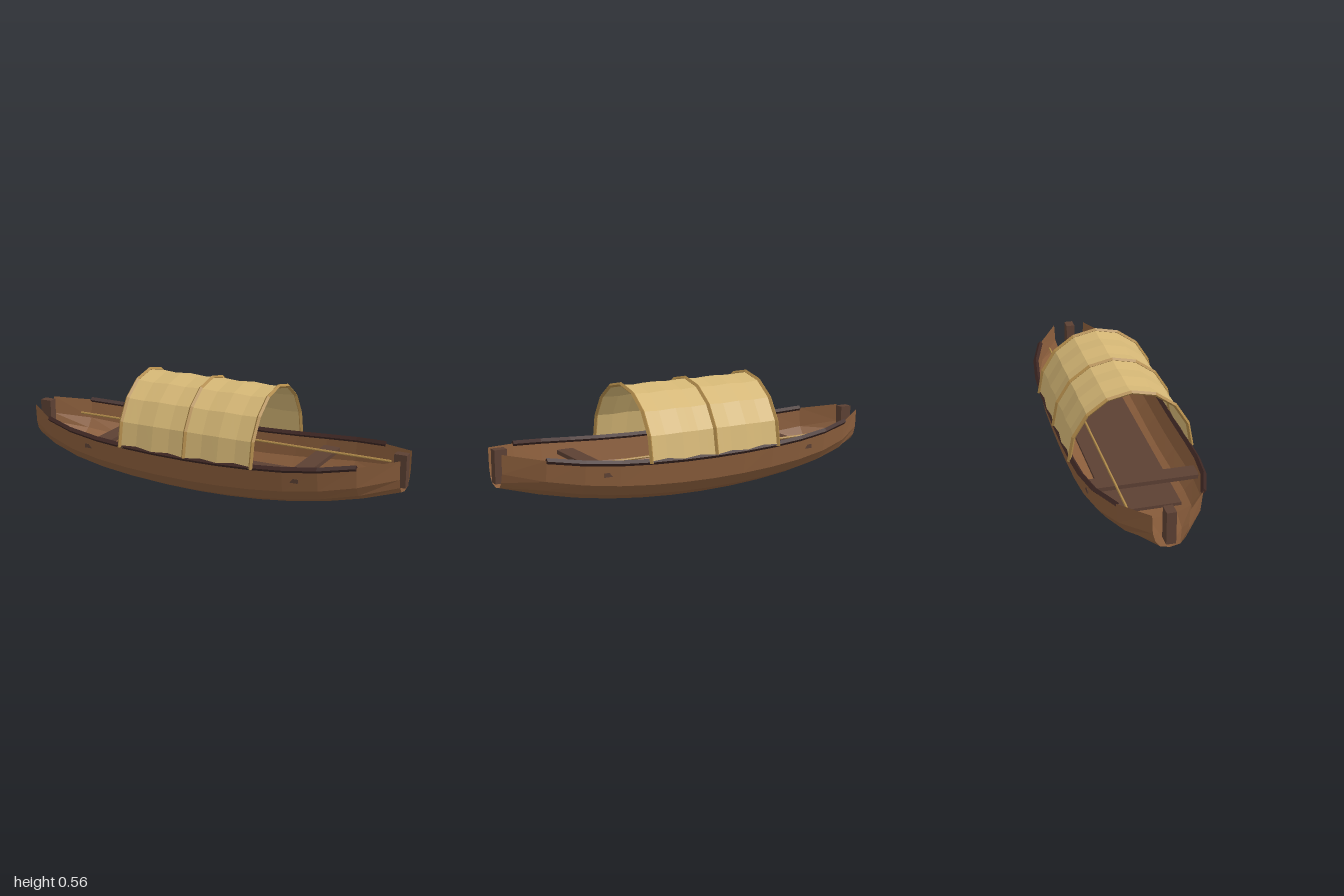
import * as THREE from 'three';

const mat = (color) => new THREE.MeshStandardMaterial({ color, flatShading: true, side: THREE.DoubleSide });
const hullWood = mat(0x8b5e3c), darkWood = mat(0x3e2723), plankWood = mat(0x5c4033);
const cane = mat(0xb08a4a), matting = mat(0xd4b675);

const HALF = 0.99;
const keel = (x) => 0.13 * (x / HALF) ** 2;
const sheer = (x) => 0.22 + 0.08 * (x / HALF) ** 2;
const beam = (x) => 0.285 - 0.202 * Math.abs(x / HALF) ** 4.5;

// Skin a list of equal-length cross-sections ([x, y, z] points)
function loft(rings, closed = false) {
  const n = rings[0].length, index = [];
  for (let i = 0; i < rings.length - 1; i++) {
    for (let j = 0; j < (closed ? n : n - 1); j++) {
      const a = i * n + j, b = i * n + (j + 1) % n;
      index.push(a, a + n, b, b, a + n, b + n);
    }
  }
  const g = new THREE.BufferGeometry();
  g.setAttribute('position', new THREE.Float32BufferAttribute(rings.flat(2), 3));
  g.setIndex(index);
  const flat = g.toNonIndexed();
  flat.computeVertexNormals();
  return flat;
}

// Collapse a ring to its centre, to cap the end of a closed loft
function cap(ring) {
  const c = [0, 1, 2].map((k) => ring.reduce((s, p) => s + p[k], 0) / ring.length);
  return ring.map(() => c);
}
const capped = (rings) => loft([cap(rings[0]), ...rings, cap(rings[rings.length - 1])], true);

const steps = (n, f) => Array.from({ length: n + 1 }, (_, i) => f(i));

export function createModel() {
  const boat = new THREE.Group();
  boat.name = 'boat';
  const add = (name, geometry, material, x = 0, y = 0, z = 0) => {
    const m = new THREE.Mesh(geometry, material);
    m.name = name;
    m.position.set(x, y, z);
    boat.add(m);
    return m;
  };

  // Hull: one section, scaled along the length, open at both ends
  const half = [[1, 1], [0.947, 0.47], [0.79, 0.217], [0.526, 0.055]];
  const section = [...half, [0, 0], ...half.map(([z, y]) => [-z, y]).reverse()];
  add('hull', loft(steps(12, (i) => {
    const x = -HALF + i * HALF / 6, b = keel(x), s = sheer(x);
    return section.map(([z, y]) => [x, b + y * (s - b), z * beam(x)]);
  })), hullWood);

  // Rails along the top edges
  for (const side of [1, -1]) {
    add(side > 0 ? 'frontRail' : 'backRail', capped(steps(10, (i) => {
      const x = -0.825 + i * 0.165, y = sheer(x), z = side * beam(x), r = 0.014;
      return [[x, y + r, z], [x, y, z + r], [x, y - r, z], [x, y, z - r]];
    })), darkWood);
  }

  // Floor, cross seats and end posts
  add('floor', new THREE.BoxGeometry(1.23, 0.015, 0.335), plankWood, 0, 0.085, 0);
  for (const side of [1, -1]) {
    const end = side > 0 ? 'left' : 'right';
    add(end + 'Seat', new THREE.BoxGeometry(0.085, 0.02, 0.525), plankWood, side * 0.53, 0.19, 0);
    add(end + 'Post', new THREE.BoxGeometry(0.06, 0.157, 0.044), plankWood, side * 0.97, 0.23, 0);
  }

  // Arched canopy with gentle ripples
  const arch = (x, i, rz, ry) => {
    const a = i * Math.PI / 8;
    return [x, 0.225 + ry * Math.sin(a), rz * Math.cos(a)];
  };
  add('canopy', loft(steps(16, (k) => {
    const x = -0.35 + k * 0.7 / 16;
    const d = 0.003 * Math.cos(x * Math.PI * 2 / 0.175);
    return steps(8, (i) => arch(x, i, 0.292 + d, 0.315 + d));
  })), matting);

  // Bent hoops with a diamond section
  [-0.35, 0, 0.35].forEach((x) => {
    const r = 0.01;
    add('hoop', capped(steps(8, (i) => [
      arch(x, i, 0.296 + r, 0.32 + r), arch(x + r, i, 0.296, 0.32),
      arch(x, i, 0.296 - r, 0.32 - r), arch(x - r, i, 0.296, 0.32),
    ])), cane);
  });

  // Punting pole lying along the back side
  add('pole', new THREE.CylinderGeometry(0.006, 0.006, 1.73, 6), cane, 0.01, 0.215, -0.135).rotation.z = Math.PI / 2;

  return boat;
}
